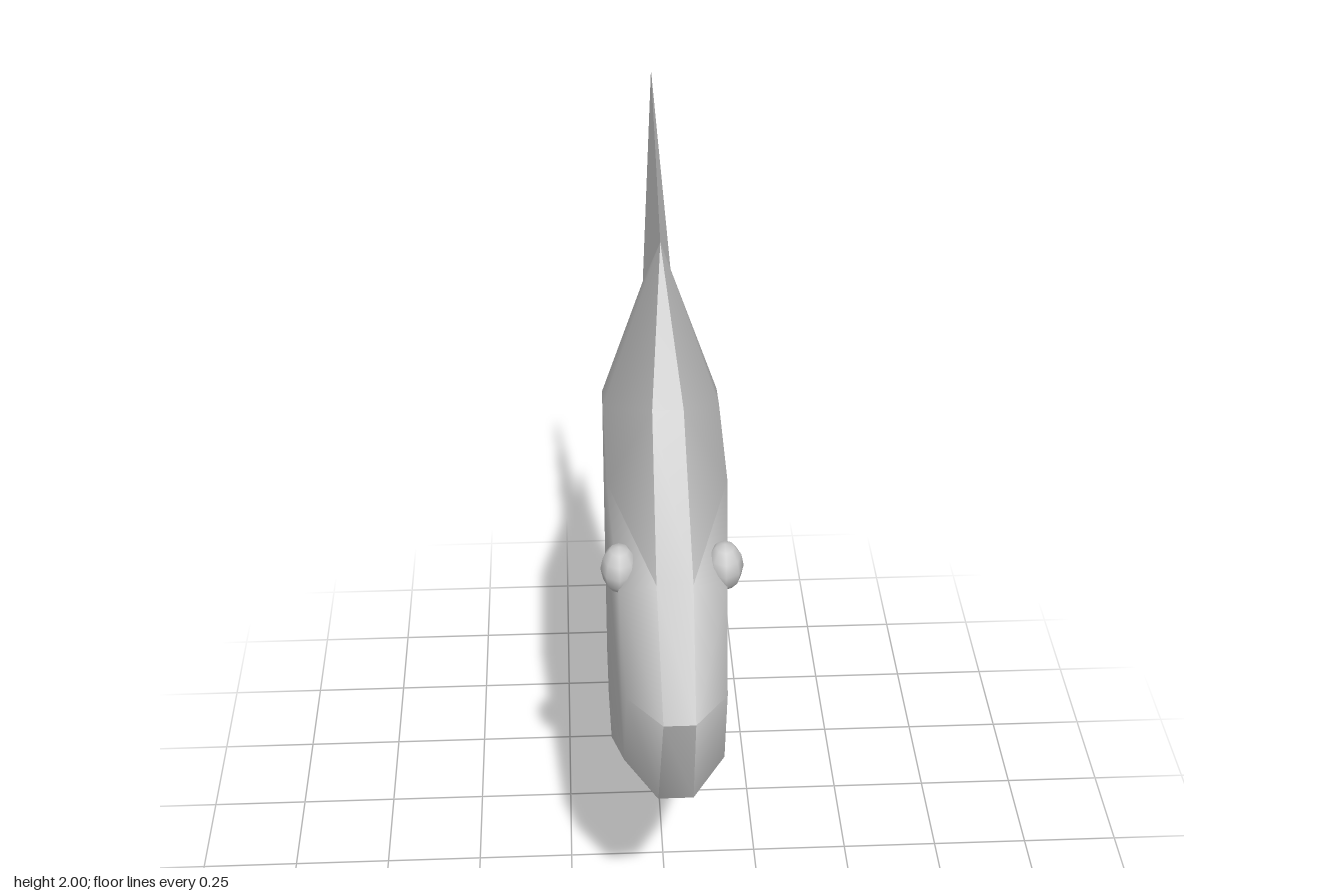
import * as THREE from 'three';
import { toCreasedNormals } from 'three/addons/utils/BufferGeometryUtils.js';

const material = new THREE.MeshStandardMaterial({ color: 0xcccccc, side: THREE.DoubleSide });

// Symmetric shell from loops of [z, y, halfWidth], outermost loop first.
// The loops run nose, back, tail, belly; the last one is capped on both sides.
function shell(name, loops) {
  const pos = [];
  const tri = (a, b, c) => pos.push(...a, ...b, ...c);
  const at = (p, side) => [p[2] * side, p[1], p[0]];
  const both = (a, b, c) => {
    tri(at(a, 1), at(b, 1), at(c, 1));
    tri(at(a, -1), at(c, -1), at(b, -1));
  };

  // edge wall joining the two sides
  const rim = loops[0];
  rim.forEach((p, i) => {
    const q = rim[(i + 1) % rim.length];
    if (q[2] > 0) tri(at(p, 1), at(q, 1), at(q, -1));
    if (p[2] > 0) tri(at(p, 1), at(q, -1), at(p, -1));
  });

  // bands between neighbouring loops
  for (let k = 0; k + 1 < loops.length; k++) {
    const o = loops[k], n = loops[k + 1];
    o.forEach((p, i) => {
      const j = (i + 1) % o.length;
      both(p, n[i], n[j]);
      both(p, n[j], o[j]);
    });
  }

  // side caps
  const last = loops[loops.length - 1];
  const flat = last.map(p => new THREE.Vector2(-p[0], p[1]));
  for (const [a, b, c] of THREE.ShapeUtils.triangulateShape(flat, [])) {
    const u = flat[b].clone().sub(flat[a]), v = flat[c].clone().sub(flat[a]);
    if (u.cross(v) > 0) both(last[a], last[b], last[c]);
    else both(last[a], last[c], last[b]);
  }

  const geo = new THREE.BufferGeometry();
  geo.setAttribute('position', new THREE.Float32BufferAttribute(pos, 3));
  const mesh = new THREE.Mesh(toCreasedNormals(geo, 0.95), material);
  mesh.name = name;
  return mesh;
}

export function createModel() {
  const fish = new THREE.Group();
  fish.name = 'fish';

  // flat body: narrow outline and wide inner loop
  const outline = [
    [0.8, 1.12, 0.035], [0.58, 1.33, 0.04], [0.25, 1.57, 0.035], [-0.13, 1.79, 0],
    [-0.3, 1.6, 0.035], [-0.43, 1.3, 0.04], [-0.43, 1.03, 0.04], [-0.24, 0.48, 0.03],
    [0.03, 0.28, 0], [0.32, 0.49, 0.03], [0.66, 0.79, 0.04],
  ];
  const flank = [
    [0.69, 1.11, 0.11], [0.5, 1.26, 0.12], [0.22, 1.36, 0.138], [-0.1, 1.37, 0.14],
    [-0.19, 1.36, 0.14], [-0.2, 1.28, 0.14], [-0.2, 1.03, 0.14], [-0.16, 0.58, 0.14],
    [0.01, 0.57, 0.14], [0.25, 0.63, 0.138], [0.58, 0.84, 0.115],
  ];
  fish.add(shell('body', [outline, flank]));

  // pointed fins above and below
  fish.add(shell('topFin', [[[-0.13, 1.79, 0], [-0.64, 2, 0], [-0.3, 1.6, 0.035]]]));
  fish.add(shell('bottomFin', [[[-0.24, 0.48, 0.03], [-0.49, 0, 0], [0.03, 0.28, 0]]]));

  // forked tail, thinning to its tips
  fish.add(shell('tailFin', [[
    [-0.43, 1.3, 0.04], [-0.79, 1.41, 0], [-0.605, 1.24, 0.02],
    [-0.605, 1.09, 0.02], [-0.72, 0.92, 0.006], [-0.43, 1.03, 0.04],
  ]]));

  // bulging eyes
  const eyeGeo = new THREE.SphereGeometry(1, 8, 6);
  for (const side of [1, -1]) {
    const eye = new THREE.Mesh(eyeGeo, material);
    eye.name = side > 0 ? 'leftEye' : 'rightEye';
    eye.scale.set(0.042, 0.057, 0.052);
    eye.position.set(0.117 * side, 1.288, 0.452);
    fish.add(eye);
  }
  return fish;
}
